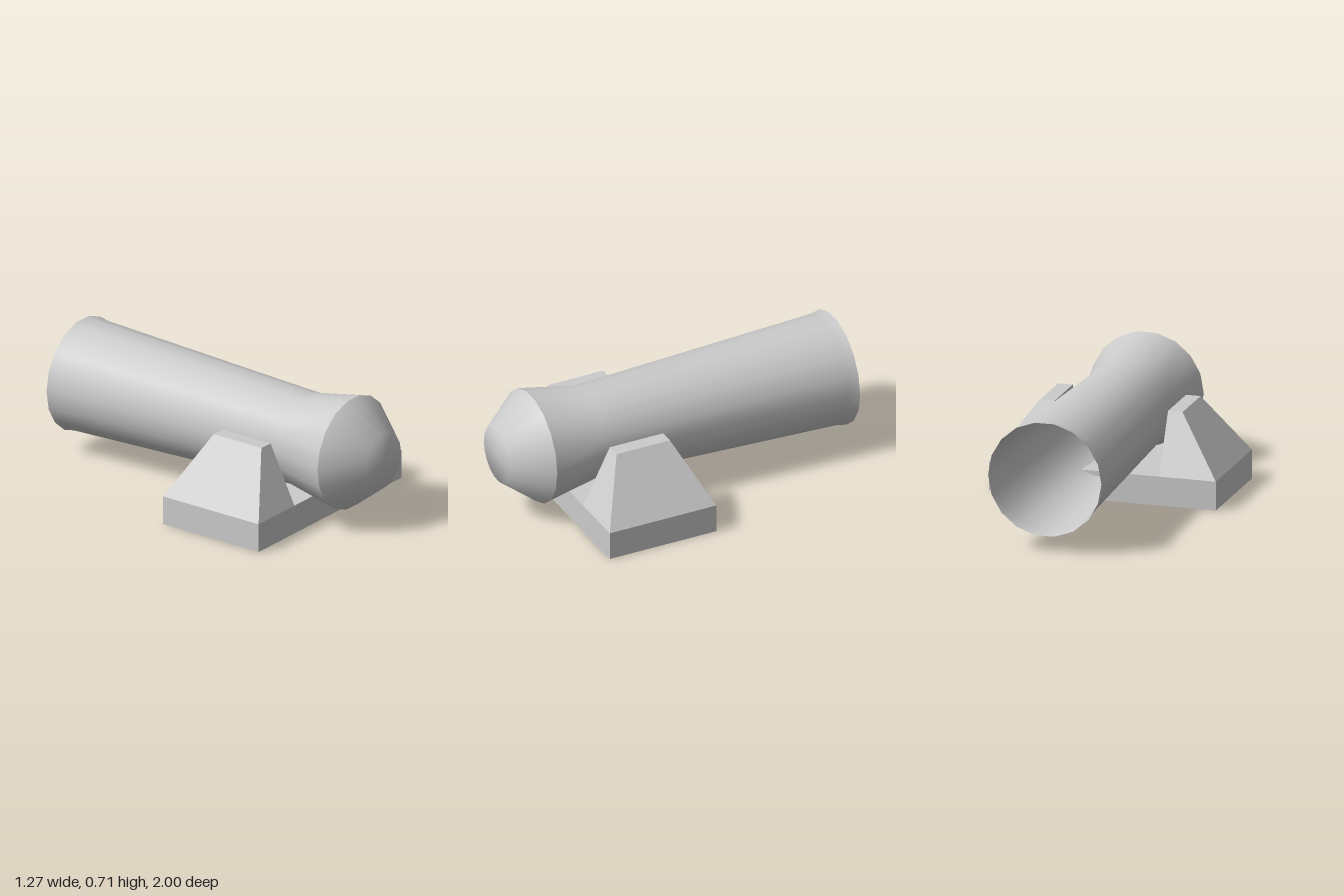
import * as THREE from 'three';

const grey = new THREE.MeshStandardMaterial({ color: 0xcccccc, side: THREE.DoubleSide });
const flatGrey = new THREE.MeshStandardMaterial({ color: 0xcccccc, flatShading: true });

// Turned shell along z; profile is [radius, z] from back to front
function turned(name, profile) {
  const points = profile.map(([r, z]) => new THREE.Vector2(r, z));
  const geometry = new THREE.LatheGeometry(points, 18, Math.PI / 2);
  geometry.rotateX(Math.PI / 2);
  const mesh = new THREE.Mesh(geometry, grey);
  mesh.name = name;
  return mesh;
}

// Tapered side block: vertical inner face, the other three lean inwards
function cheek(name, side) {
  const width = 0.317, height = 0.32, depth = 0.634;
  const geometry = new THREE.BoxGeometry(width, height, depth);
  const p = geometry.attributes.position;
  for (let i = 0; i < p.count; i++) {
    if (p.getY(i) < 0) continue;
    p.setZ(i, p.getZ(i) * 0.5);
    if (p.getX(i) * side > 0) p.setX(i, side * (-width / 2 + 0.081));
  }
  geometry.computeVertexNormals();
  const mesh = new THREE.Mesh(geometry, flatGrey);
  mesh.name = name;
  mesh.position.set(side * (0.316 + width / 2), 0.16 + height / 2, 0.33);
  return mesh;
}

export function createModel() {
  const model = new THREE.Group();
  model.name = 'cannon';

  // Barrel: hollow tube open at the muzzle, closed by a blunt breech
  const barrel = new THREE.Group();
  barrel.name = 'barrel';
  barrel.position.y = 0.4;
  barrel.add(
    turned('tube', [[0.316, -1], [0.305, -0.94], [0.254, 0.48], [0.316, 0.8]]),
    turned('breech', [[0.316, 0.8], [0.158, 1], [0, 1]])
  );
  model.add(barrel);

  // Mount
  const base = new THREE.Mesh(new THREE.BoxGeometry(1.266, 0.16, 0.634), flatGrey);
  base.name = 'base';
  base.position.set(0, 0.08, 0.33);
  model.add(base, cheek('leftCheek', 1), cheek('rightCheek', -1));

  return model;
}
